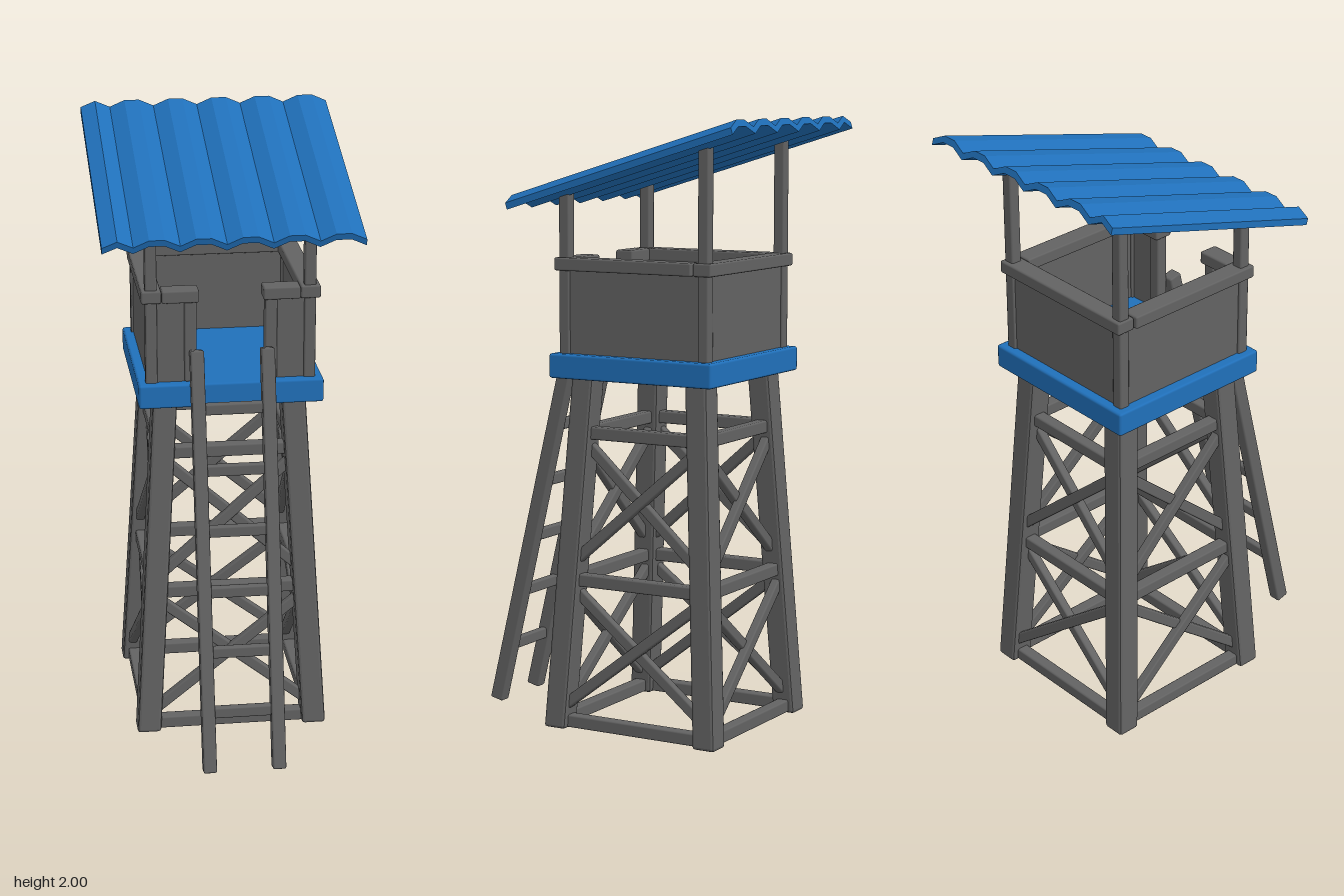
import * as THREE from 'three';
import { RoundedBoxGeometry } from 'three/addons/geometries/RoundedBoxGeometry.js';

const grey = new THREE.MeshStandardMaterial({ color: 0x626262 });
grey.name = 'grey timber';
const blue = new THREE.MeshStandardMaterial({ color: 0x2070ba });
blue.name = 'blue paint';

const UP = new THREE.Vector3(0, 1, 0);
const CZ = -0.115; // tower axis

function add(parent, geo, mat, name, x = 0, y = 0, z = 0) {
  const m = new THREE.Mesh(geo, mat);
  m.name = name;
  m.position.set(x, y, z);
  parent.add(m);
  return m;
}

// box with narrow bevels
const bevelled = (w, h, d, r = 0.006) => new RoundedBoxGeometry(w, h, d, 1, r);

// bevelled bar between two points
function bar(parent, name, a, b, w, d) {
  const p = new THREE.Vector3(...a), q = new THREE.Vector3(...b);
  const dir = q.clone().sub(p);
  const m = add(parent, bevelled(w, dir.length(), d), grey, name);
  m.position.copy(p).add(q).multiplyScalar(0.5);
  m.quaternion.setFromUnitVectors(UP, dir.normalize());
}

const legAt = (y) => 0.28 - 0.06 * y; // leg offset from the axis at height y

// leg sheared inwards so its ends stay level
function leg(parent, sx, sz) {
  const geo = bevelled(0.08, 1.17, 0.08, 0.01);
  geo.translate(0, 0.585, 0);
  const p = geo.attributes.position;
  for (let i = 0; i < p.count; i++) {
    const c = legAt(p.getY(i));
    p.setX(i, p.getX(i) + sx * c);
    p.setZ(i, p.getZ(i) + sz * c);
  }
  geo.computeVertexNormals();
  add(parent, geo, grey, 'leg');
}

function buildFrame() {
  const frame = new THREE.Group();
  frame.name = 'towerFrame';
  for (const sx of [-1, 1]) for (const sz of [-1, 1]) leg(frame, sx, sz);
  for (let k = 0; k < 4; k++) {
    const side = new THREE.Group();
    side.name = 'bracedSide';
    side.rotation.y = k * Math.PI / 2;
    for (const y of [0.025, 0.495, 0.98]) {
      const c = legAt(y);
      bar(side, 'crossBeam', [-c, y, c], [c, y, c], 0.042, 0.042);
    }
    for (const [lo, hi] of [[0.06, 0.47], [0.545, 0.955]]) {
      const a = legAt(lo), b = legAt(hi);
      for (const s of [-1, 1]) {
        const o = s * 0.008;
        bar(side, 'diagonalBrace', [-s * a, lo, a + o], [s * b, hi, b + o], 0.036, 0.03);
      }
    }
    frame.add(side);
  }
  return frame;
}

function buildCabin() {
  const cabin = new THREE.Group();
  cabin.name = 'cabin';
  add(cabin, bevelled(0.6, 0.08, 0.6, 0.008), blue, 'platform', 0, 1.2, 0);
  const c = 0.256, wallY = 1.38, wallH = 0.28, railY = 1.53;

  // back wall and rail
  add(cabin, new THREE.BoxGeometry(0.5, wallH, 0.022), grey, 'backWall', 0, wallY, -c);
  add(cabin, bevelled(0.565, 0.042, 0.065), grey, 'backRail', 0, railY, -c);

  for (const s of [-1, 1]) {
    // roof posts
    bar(cabin, 'frontPost', [s * c, 1.23, c], [s * c, 1.765, c], 0.038, 0.038);
    bar(cabin, 'backPost', [s * c, 1.23, -c], [s * c, 1.92, -c], 0.038, 0.038);
    // side wall and rail
    add(cabin, new THREE.BoxGeometry(0.022, wallH, 0.5), grey, 'sideWall', s * c, wallY, 0);
    add(cabin, bevelled(0.065, 0.042, 0.505), grey, 'sideRail', s * c, railY, 0.033);
    // front wall beside the entrance
    add(cabin, new THREE.BoxGeometry(0.11, wallH, 0.022), grey, 'frontWall', s * 0.195, wallY, c);
    add(cabin, bevelled(0.04, wallH, 0.04), grey, 'doorPost', s * 0.13, wallY, c);
    add(cabin, bevelled(0.12, 0.042, 0.065), grey, 'frontRail', s * 0.163, railY, c);
  }
  return cabin;
}

function buildLadder() {
  const ladder = new THREE.Group();
  ladder.name = 'ladder';
  const zAt = (y) => 0.52 - 0.243 * y;
  for (const s of [-1, 1]) {
    bar(ladder, 'ladderRail', [s * 0.114, 0.012, zAt(0.012)], [s * 0.114, 1.355, zAt(1.355)], 0.044, 0.048);
  }
  for (let i = 0; i < 6; i++) {
    const y = 0.205 + i * 0.193;
    bar(ladder, 'rung', [-0.11, y, zAt(y)], [0.11, y, zAt(y)], 0.038, 0.026);
  }
  return ladder;
}

function buildRoof() {
  // corrugated section: arches of three facets, the first one cut short
  const wave = 0.024, thick = 0.022, pitch = 0.147;
  const top = [[-0.418, -0.022], [-0.37, 0], [-0.32, -wave]];
  for (let i = 0; i < 5; i++) {
    const x = -0.32 + i * pitch;
    top.push([x + pitch / 3, 0], [x + 2 * pitch / 3, 0], [x + pitch, -wave]);
  }
  const under = top.map(([x, y]) => [x, y - thick]).reverse();
  const shape = new THREE.Shape([...top, ...under].map(([x, y]) => new THREE.Vector2(x, y)));
  const length = 0.853;
  const geo = new THREE.ExtrudeGeometry(shape, { depth: length, bevelEnabled: false });
  geo.translate(0, 0, -length);
  const roof = new THREE.Mesh(geo, blue);
  roof.name = 'corrugatedRoof';
  roof.position.set(0, 1.752, 0.285);
  roof.rotation.x = 0.295;
  return roof;
}

export function createModel() {
  const model = new THREE.Group();
  model.name = 'watchtower';
  const tower = new THREE.Group();
  tower.name = 'tower';
  tower.position.z = CZ;
  const cabin = buildCabin();
  cabin.position.z = 0.006;
  tower.add(buildFrame(), cabin);
  model.add(tower, buildLadder(), buildRoof());
  return model;
}
